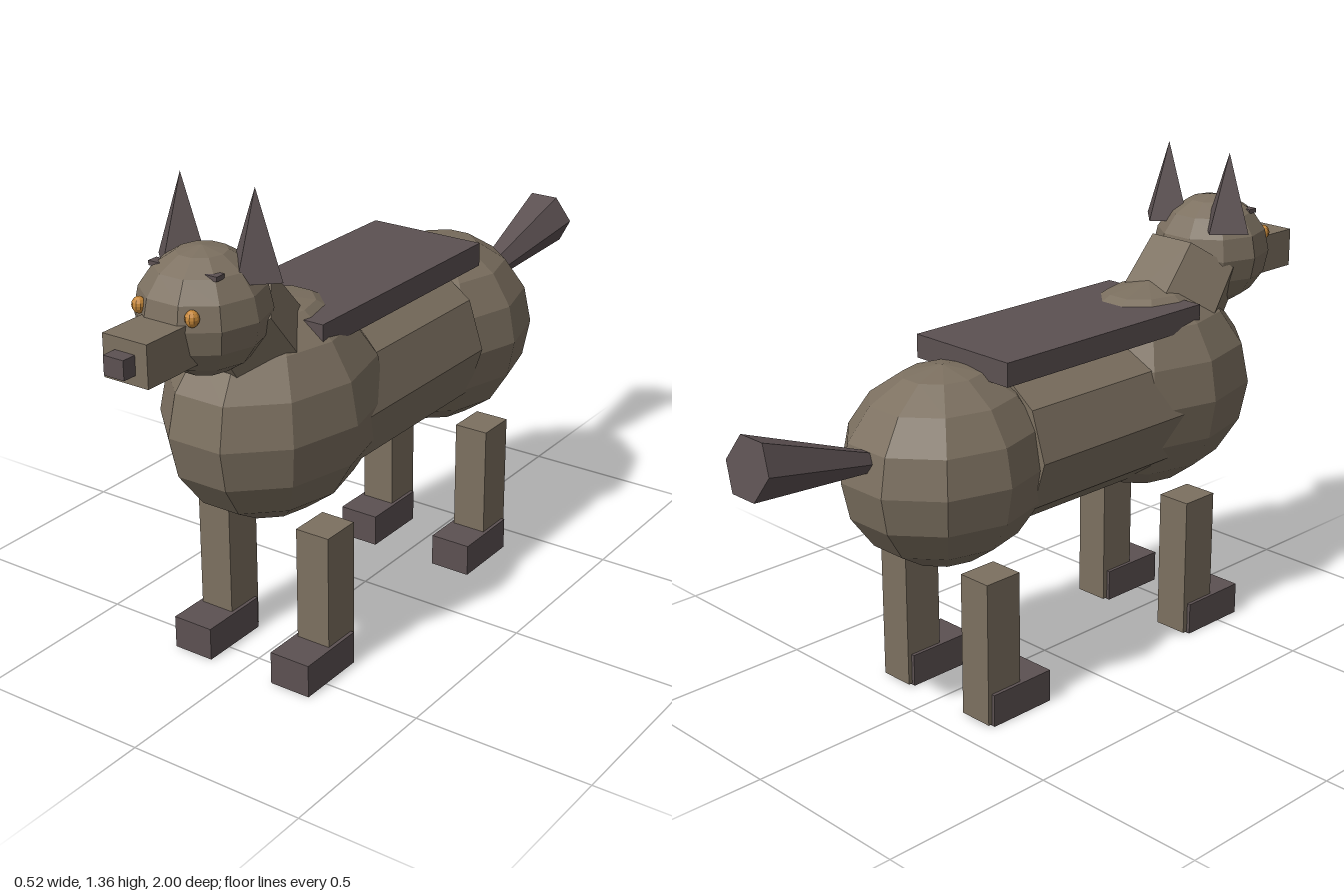
import * as THREE from 'three';

export function createModel() {
  const model = new THREE.Group();
  model.name = 'dog';

  const material = (name, color) => {
    const m = new THREE.MeshStandardMaterial({ color, flatShading: true });
    m.name = name;
    return m;
  };
  const fur = material('brown fur', 0x7c7060);
  const dark = material('dark fur', 0x5c5152);
  const amber = material('amber eye', 0xc8893a);

  const add = (name, geometry, mat, x, y, z, tilt = 0) => {
    const mesh = new THREE.Mesh(geometry, mat);
    mesh.name = name;
    mesh.position.set(x, y, z);
    mesh.rotation.x = tilt;
    model.add(mesh);
    return mesh;
  };
  const box = (w, h, d) => new THREE.BoxGeometry(w, h, d);
  const ball = (rx, ry, rz) => new THREE.SphereGeometry(1, 10, 8).scale(rx, ry, rz);
  // Prism along y with corners on the x axis
  const prism = (top, bottom, length, sides) =>
    new THREE.CylinderGeometry(top, bottom, length, sides, 1, false, Math.PI / 2);

  // Torso
  add('chest', ball(0.26, 0.295, 0.339), fur, 0, 0.715, 0.41);
  add('rump', ball(0.255, 0.27, 0.295), fur, 0, 0.675, -0.366);
  add('belly', prism(0.232, 0.232, 0.58, 10), fur, 0, 0.695, 0.06, Math.PI / 2);
  add('backPatch', box(0.345, 0.065, 0.735), dark, 0, 0.94, 0.066);

  // Neck leans forward, its upper end inside the head
  const lean = 0.65, neckLength = 0.28;
  add('neck', prism(0.145, 0.165, neckLength, 6), fur, 0,
    1.04 - Math.cos(lean) * neckLength / 2, 0.605 - Math.sin(lean) * neckLength / 2, lean);

  // Head
  add('head', ball(0.165, 0.16, 0.17), fur, 0, 1.056, 0.675);
  add('muzzle', box(0.132, 0.11, 0.18), fur, 0, 1.018, 0.87);
  add('nose', box(0.06, 0.05, 0.05), dark, 0, 1.015, 0.975);

  // Tail widens towards its tip
  const tailTilt = -1.35, tailLength = 0.4;
  add('tail', prism(0.085, 0.025, tailLength, 6), dark, 0,
    0.83 - Math.cos(tailTilt) * tailLength / 2, -0.984 - Math.sin(tailTilt) * tailLength / 2, tailTilt);

  // Paired parts
  for (const [side, s] of [['left', 1], ['right', -1]]) {
    add(side + 'Ear', new THREE.ConeGeometry(0.078, 0.22, 4), dark, s * 0.112, 1.25, 0.612);
    add(side + 'Eye', ball(0.018, 0.021, 0.018), amber, s * 0.08, 1.092, 0.815);
    add(side + 'Brow', box(0.035, 0.012, 0.03), dark, s * 0.085, 1.172, 0.735);
    for (const [end, legZ, footZ] of [['Front', 0.415, 0.475], ['Back', -0.357, -0.3]]) {
      add(side + end + 'Leg', box(0.1, 0.405, 0.115), fur, s * 0.16, 0.2065, legZ);
      add(side + end + 'Foot', box(0.12, 0.092, 0.205), dark, s * 0.16, 0.046, footZ);
    }
  }
  return model;
}
